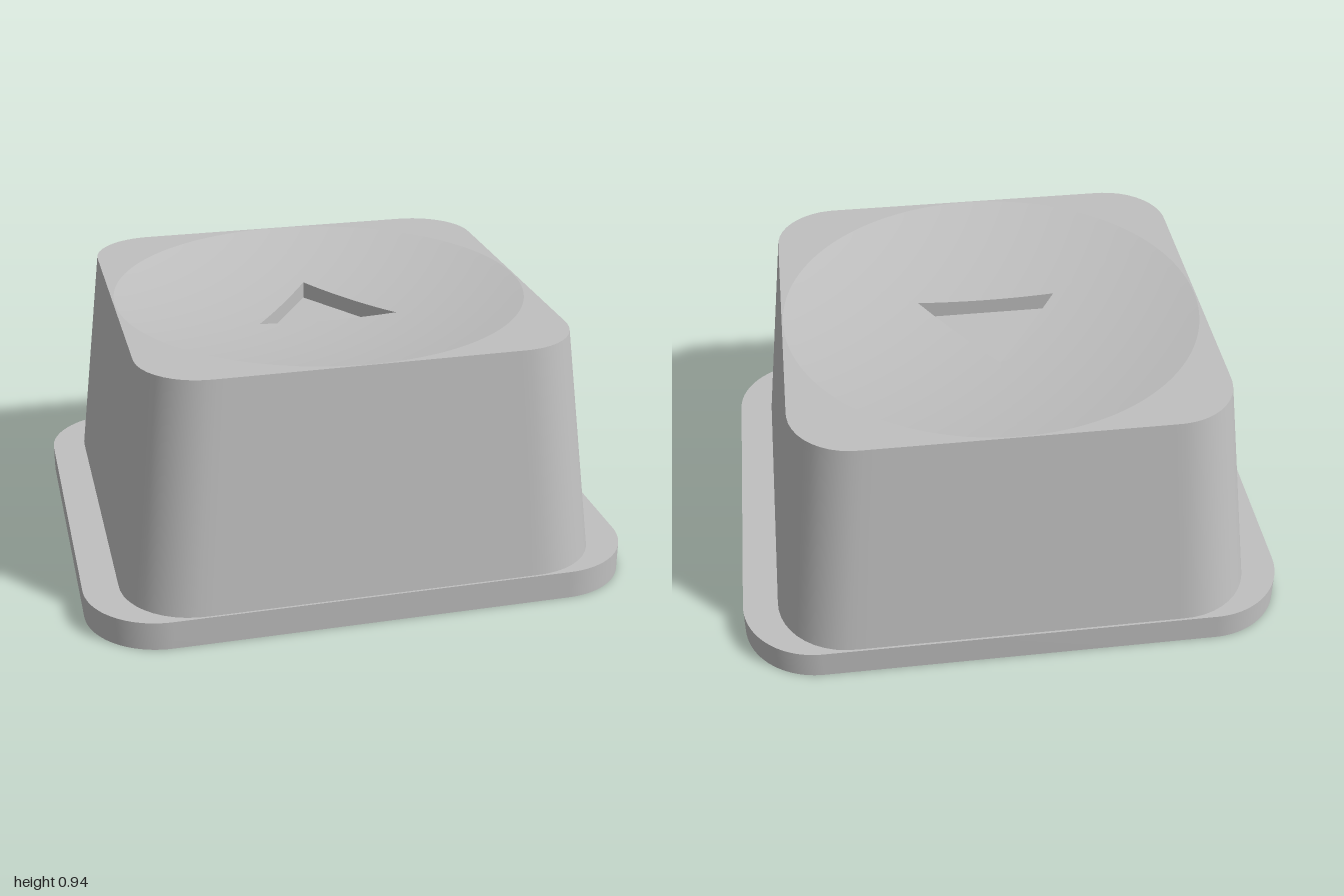
import * as THREE from 'three';
import { toCreasedNormals } from 'three/addons/utils/BufferGeometryUtils.js';

const FLANGE_H = 0.105, TOP = 0.94, FLOOR = 0.81, BORE_R = 0.275, BORE_TOP = 0.23;
const DISH_R = 0.77, DISH_DEPTH = 0.075;
const TRIANGLE = [[0, -0.26], [0.26, 0.155], [-0.26, 0.155]];

// Shared angles around the vertical axis, including the triangle's corners
const ANGLES = [
  ...Array.from({ length: 180 }, (_, i) => -Math.PI + (i * Math.PI) / 90),
  ...TRIANGLE.map(([x, z]) => Math.atan2(z, x)),
].sort((a, b) => a - b);

// Radius of a rounded square along a given angle
function squareRadius(half, corner, t) {
  let lo = 0, hi = half * 1.5;
  for (let i = 0; i < 40; i++) {
    const r = (lo + hi) / 2;
    const dx = Math.abs(r * Math.cos(t)) - half + corner;
    const dz = Math.abs(r * Math.sin(t)) - half + corner;
    const d = Math.hypot(Math.max(dx, 0), Math.max(dz, 0)) + Math.min(Math.max(dx, dz), 0) - corner;
    if (d < 0) lo = r; else hi = r;
  }
  return lo;
}

// Radius of the triangle along a given angle
function triangleRadius(t) {
  let best = Infinity;
  TRIANGLE.forEach(([x, z], i) => {
    const [x2, z2] = TRIANGLE[(i + 1) % 3];
    const nx = z2 - z, nz = x - x2;
    const along = nx * Math.cos(t) + nz * Math.sin(t);
    const r = (nx * x + nz * z) / along;
    if (r > 0) best = Math.min(best, r);
  });
  return best;
}

const dishY = (r) => TOP - DISH_DEPTH * Math.max(0, 1 - (r / DISH_R) ** 2);

// Surface through rings; each ring gives [radius, height] for an angle
function loft(rings) {
  const n = ANGLES.length, pos = [], index = [];
  for (const ring of rings) {
    for (const t of ANGLES) {
      const [r, y] = ring(t);
      pos.push(r * Math.cos(t), y, r * Math.sin(t));
    }
  }
  for (let i = 0; i < rings.length - 1; i++) {
    for (let j = 0; j < n; j++) {
      const a = i * n + j, b = i * n + ((j + 1) % n);
      index.push(a, a + n, b, b, a + n, b + n);
    }
  }
  const g = new THREE.BufferGeometry();
  g.setAttribute('position', new THREE.Float32BufferAttribute(pos, 3));
  g.setIndex(index);
  g.computeVertexNormals();
  return g;
}

function roundedRect(target, hx, hz, r) {
  target.absarc(hx - r, hz - r, r, 0, Math.PI / 2);
  target.absarc(-hx + r, hz - r, r, Math.PI / 2, Math.PI);
  target.absarc(-hx + r, -hz + r, r, Math.PI, Math.PI * 1.5);
  target.absarc(hx - r, -hz + r, r, Math.PI * 1.5, Math.PI * 2);
  target.closePath();
  return target;
}

export function createModel() {
  const group = new THREE.Group();
  const grey = new THREE.MeshStandardMaterial({ color: 0xc0c0c0 });
  grey.name = 'grey';
  const add = (name, geometry) => {
    const mesh = new THREE.Mesh(geometry, grey);
    mesh.name = name;
    group.add(mesh);
  };

  // Base flange with a square recess underneath
  const outline = roundedRect(new THREE.Shape(), 1, 0.88, 0.28);
  outline.holes.push(roundedRect(new THREE.Path(), 0.45, 0.43, 0.05));
  const flange = new THREE.ExtrudeGeometry(outline, { depth: FLANGE_H, bevelEnabled: false, curveSegments: 20 });
  flange.rotateX(-Math.PI / 2);
  add('flange', toCreasedNormals(flange, 0.5));

  // Recess ceiling with a round bore in it
  const ceiling = roundedRect(new THREE.Shape(), 0.45, 0.43, 0.05);
  ceiling.holes.push(new THREE.Path().absarc(0, 0, BORE_R, 0, Math.PI * 2));
  const ceilingGeometry = new THREE.ShapeGeometry(ceiling, 48);
  ceilingGeometry.rotateX(Math.PI / 2).translate(0, FLANGE_H, 0);
  add('recessCeiling', ceilingGeometry);
  add('boreWall', loft([() => [BORE_R, BORE_TOP], () => [BORE_R, FLANGE_H]]));
  add('boreEnd', loft([() => [0, BORE_TOP], () => [BORE_R, BORE_TOP]]));

  // Tapered body
  const rim = (t) => squareRadius(0.775, 0.23, t);
  add('body', loft([(t) => [squareRadius(0.872, 0.27, t), FLANGE_H], (t) => [rim(t), TOP]]));

  // Flat corners and dished top, open at the triangle
  add('topRim', loft([(t) => [rim(t), TOP], () => [DISH_R, TOP]]));
  const steps = 16;
  add('dishedTop', loft(Array.from({ length: steps + 1 }, (_, i) => (t) => {
    const r = THREE.MathUtils.lerp(DISH_R, triangleRadius(t), i / steps);
    return [r, dishY(r)];
  })));

  // Triangular pocket
  const wall = loft([(t) => [triangleRadius(t), dishY(triangleRadius(t))], (t) => [triangleRadius(t), FLOOR]]);
  add('pocketWall', toCreasedNormals(wall, 0.5));
  add('pocketFloor', loft([(t) => [triangleRadius(t), FLOOR], () => [0, FLOOR]]));

  return group;
}
